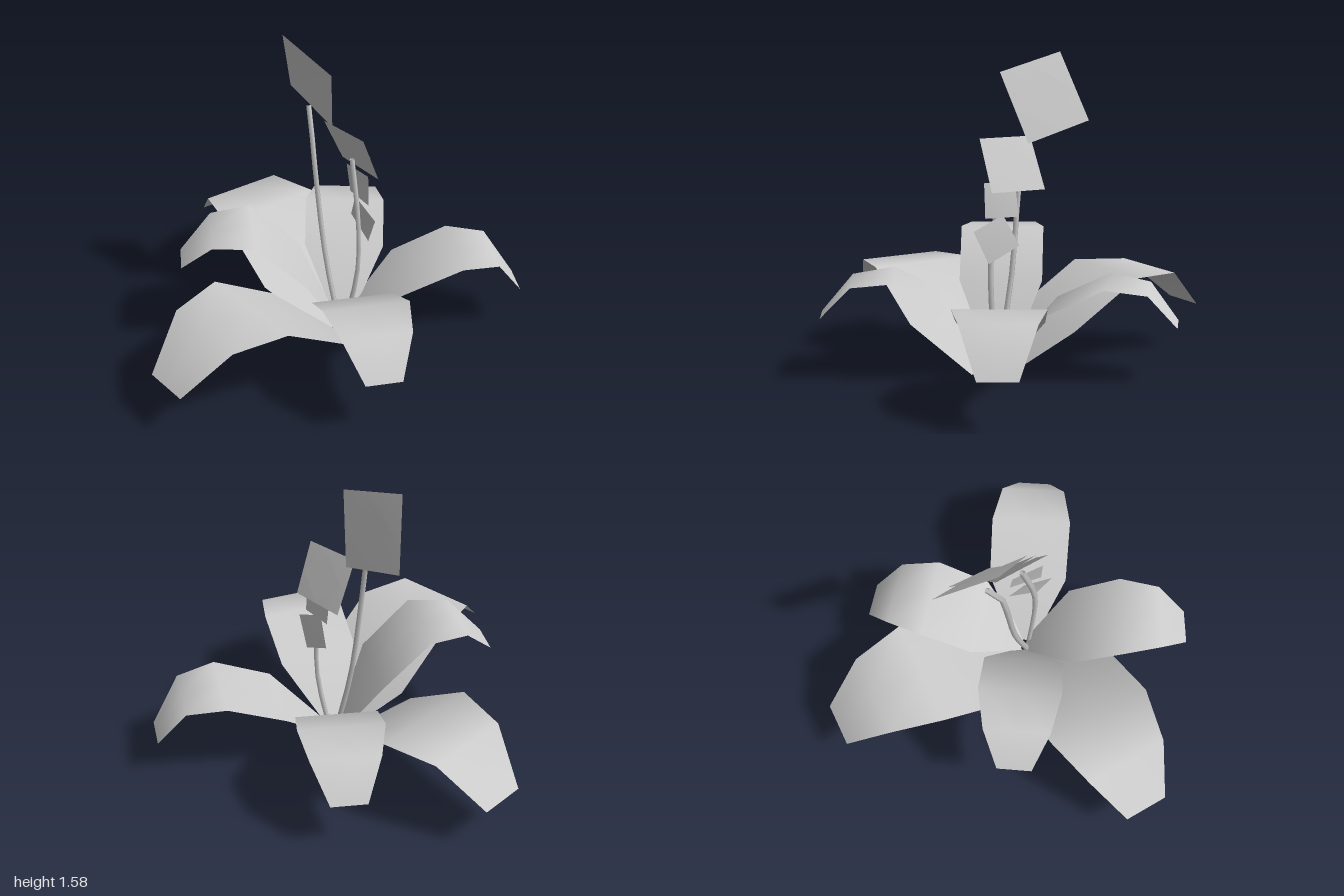
import * as THREE from 'three';

const material = new THREE.MeshStandardMaterial({ color: 0xcccccc, side: THREE.DoubleSide });

function surface(name, points, index) {
  const geo = new THREE.BufferGeometry();
  geo.setAttribute('position', new THREE.Float32BufferAttribute(points.flat(), 3));
  geo.setIndex(index);
  geo.computeVertexNormals();
  const mesh = new THREE.Mesh(geo, material);
  mesh.name = name;
  return mesh;
}

// Arching blade: five cross rows from base to tip, given as distance, height and width
function leaf(name, base, tip, dist, heights, widths) {
  const dir = new THREE.Vector2(tip[0] - base[0], tip[1] - base[1]).normalize();
  const points = [], index = [];
  dist.forEach((d, i) => {
    const x = base[0] + dir.x * d, z = base[1] + dir.y * d;
    for (const s of [-0.5, 0, 0.5]) {
      const w = s * widths[i];
      points.push([x - dir.y * w, heights[i], z + dir.x * w]);
    }
    if (i === 0) return;
    for (let j = 0; j < 2; j++) {
      const a = (i - 1) * 3 + j, b = a + 3;
      index.push(a, a + 1, b, a + 1, b + 1, b);
    }
  });
  return surface(name, points, index);
}

// Square petal card, optionally with a smaller turned card raised in front of it
function blossom(name, corners, inner) {
  const group = new THREE.Group();
  group.name = name;
  const quad = [0, 1, 2, 0, 2, 3];
  group.add(surface('outerPetal', corners, quad));
  if (inner) {
    const c = [0, 1, 2].map(k => corners.reduce((s, p) => s + p[k] / 4, 0));
    const diamond = corners.map((p, i) => {
      const q = corners[(i + 1) % 4];
      return p.map((v, k) => c[k] + ((v + q[k]) / 2 - c[k]) * 0.85 + (k === 0 ? 0.018 : 0));
    });
    group.add(surface('innerPetal', diamond, quad));
  }
  return group;
}

function stem(name, path) {
  const curve = new THREE.CatmullRomCurve3(path.map(p => new THREE.Vector3(...p)));
  const mesh = new THREE.Mesh(new THREE.TubeGeometry(curve, 8, 0.016, 4), material);
  mesh.name = name;
  return mesh;
}

export function createModel() {
  const model = new THREE.Group();
  model.name = 'floweringPlant';

  // Leaves
  const large = [0.16, 0.57, 0.58, 0.45, 0.235];
  const small = [0.1, 0.42, 0.43, 0.345, 0.18];
  const largeDist = [0, 0.25, 0.61, 0.89, 1.12];
  const largeHeight = [0.01, 0.24, 0.47, 0.46, 0.25];
  model.add(
    leaf('backLeaf', [0.14, 0.14], [0.215, -0.98], largeDist, largeHeight, large),
    leaf('rightLeaf', [0.12, 0.22], [-1, 0.22], largeDist, largeHeight, large),
    leaf('backLeftLeaf', [0.18, 0.15], [0.75, -0.48],
      [0, 0.24, 0.51, 0.71, 0.85], [0.08, 0.36, 0.49, 0.46, 0.29], small),
    leaf('frontLeftLeaf', [0.19, 0.17], [0.95, 0.675],
      [0, 0.27, 0.56, 0.76, 0.91], [0.08, 0.34, 0.47, 0.45, 0.24], small),
    leaf('frontLeaf', [0.15, 0.17], [-0.26, 0.93],
      [0, 0.23, 0.5, 0.71, 0.86], [0.1, 0.37, 0.51, 0.485, 0.32], small),
    leaf('backRightLeaf', [0.14, 0.15], [-0.525, -0.31],
      [0, 0.19, 0.44, 0.65, 0.81], [0.06, 0.43, 0.67, 0.66, 0.5], small));

  // Stems
  model.add(
    stem('tallStem', [[0.14, 0.03, 0.17], [0.12, 0.45, 0.07], [0.1, 0.92, 0.01],
      [0.1, 1.13, -0.02], [0.13, 1.25, -0.08]]),
    stem('shortStem', [[0.17, 0.03, 0.18], [0.2, 0.4, 0.235], [0.2, 0.68, 0.23],
      [0.21, 1.02, 0.16]]));

  // Blossoms
  model.add(
    blossom('topBlossom', [[0.1, 1.49, 0.12], [0.095, 1.585, -0.24],
      [0.22, 1.245, -0.33], [0.2, 1.145, 0.02]], true),
    blossom('middleBlossom', [[0.17, 1.18, 0.28], [0.17, 1.18, -0.01],
      [0.3, 0.93, -0.01], [0.28, 0.93, 0.28]], true),
    blossom('lowerBlossom', [[0.21, 0.97, 0.28], [0.22, 0.97, 0.11],
      [0.25, 0.8, 0.11], [0.22, 0.8, 0.28]], false),
    blossom('lowestBlossom', [[0.21, 0.74, 0.34], [0.22, 0.81, 0.18],
      [0.26, 0.66, 0.11], [0.235, 0.58, 0.27]], false));

  return model;
}
